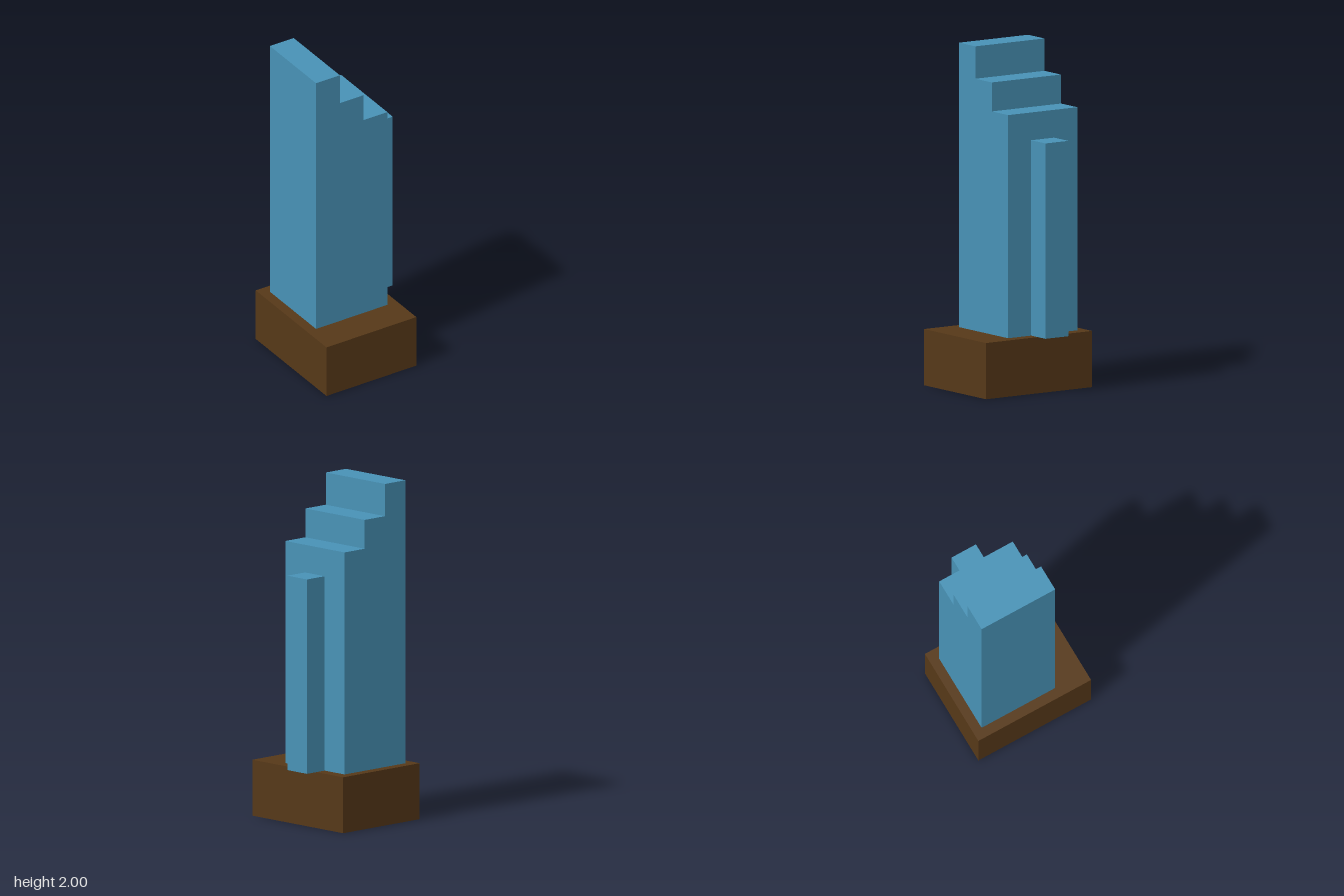
import * as THREE from 'three';

const blue = new THREE.MeshStandardMaterial({ color: 0x4892b6 });
const brown = new THREE.MeshStandardMaterial({ color: 0x563818 });

// Box given by its minimum and maximum corners
function block(name, min, max, material) {
  const size = max.map((v, i) => v - min[i]);
  const mesh = new THREE.Mesh(new THREE.BoxGeometry(...size), material);
  mesh.position.set(...max.map((v, i) => (v + min[i]) / 2));
  mesh.name = name;
  return mesh;
}

export function createModel() {
  const group = new THREE.Group();
  group.name = 'steppedTower';
  const floor = 0.33;

  // Brown plinth with a blue underside
  group.add(block('plinth', [-0.348, 0, -0.377], [0.272, floor, 0.377],
    [brown, brown, brown, blue, brown, brown]));

  // Tower: stepped outline extruded from back to front
  const outline = new THREE.Shape([
    [-0.287, floor], [0.205, floor], [0.205, 1.64], [0.042, 1.64],
    [0.042, 1.81], [-0.123, 1.81], [-0.123, 2], [-0.287, 2],
  ].map(([x, y]) => new THREE.Vector2(x, y)));
  const tower = new THREE.Mesh(
    new THREE.ExtrudeGeometry(outline, { depth: 0.492, bevelEnabled: false }), blue);
  tower.position.z = -0.32;
  tower.name = 'tower';
  group.add(tower);

  // Narrow pillar on the side, overhanging the plinth
  group.add(block('sidePillar', [0.205, floor, -0.155], [0.348, 1.477, 0.008], blue));

  return group;
}
